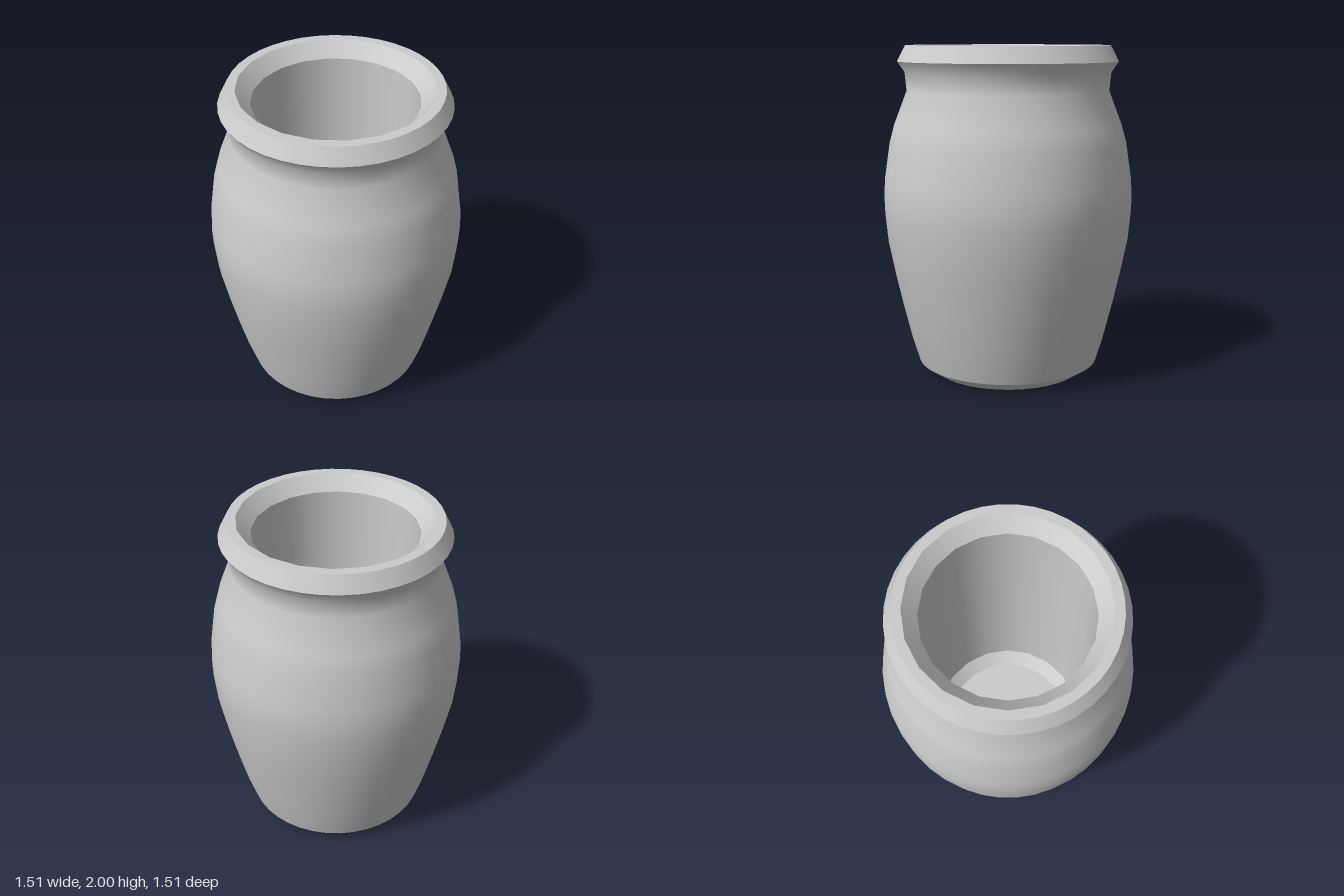
import * as THREE from 'three';

const OUTER_SIDES = 40;
const INNER_SIDES = 20;

export function createModel() {
  const group = new THREE.Group();
  const material = new THREE.MeshStandardMaterial({ color: 0xcccccc });

  const add = (name, geometry) => {
    const mesh = new THREE.Mesh(geometry, material);
    mesh.name = name;
    group.add(mesh);
    return mesh;
  };

  // One smooth band of [radius, height] points; separate bands give sharp edges.
  // Half a side of rotation puts a flat side on each axis.
  const band = (name, sides, points) => add(name, new THREE.LatheGeometry(
    points.map(([r, y]) => new THREE.Vector2(r, y)), sides, Math.PI / sides));

  // Regular polygon as corner points, turned to match the bands
  const polygon = (radius, sides) => Array.from({ length: sides }, (_, i) => {
    const a = (i + 0.5) * 2 * Math.PI / sides;
    return new THREE.Vector2(radius * Math.cos(a), radius * Math.sin(a));
  });

  // Outside, from the base up to the lip
  band('base', OUTER_SIDES, [[0, 0], [0.455, 0]]);
  band('baseChamfer', OUTER_SIDES, [[0.455, 0], [0.553, 0.065]]);
  band('body', OUTER_SIDES, [
    [0.553, 0.065], [0.598, 0.21], [0.65, 0.42], [0.695, 0.62], [0.737, 0.83],
    [0.753, 1.0], [0.756, 1.09], [0.75, 1.2], [0.717, 1.42], [0.687, 1.53],
    [0.61, 1.73], [0.62, 1.84], [0.664, 1.905],
  ]);
  band('lip', OUTER_SIDES, [[0.664, 1.905], [0.615, 2]]);

  // Flat rim: fine outer edge, coarser opening
  const rimShape = new THREE.Shape(polygon(0.615, OUTER_SIDES));
  rimShape.holes.push(new THREE.Path(polygon(0.562, INNER_SIDES)));
  const rim = new THREE.ShapeGeometry(rimShape);
  rim.rotateX(-Math.PI / 2);
  rim.translate(0, 2, 0);
  add('rimTop', rim);

  // Inside, from the rim down to the floor
  band('mouthBevel', INNER_SIDES, [[0.562, 2], [0.481, 1.915]]);
  band('innerWall', INNER_SIDES, [[0.481, 1.915], [0.481, 0.16]]);
  band('innerChamfer', INNER_SIDES, [[0.481, 0.16], [0.405, 0.08]]);
  band('floor', INNER_SIDES, [[0.405, 0.08], [0, 0.08]]);

  return group;
}
